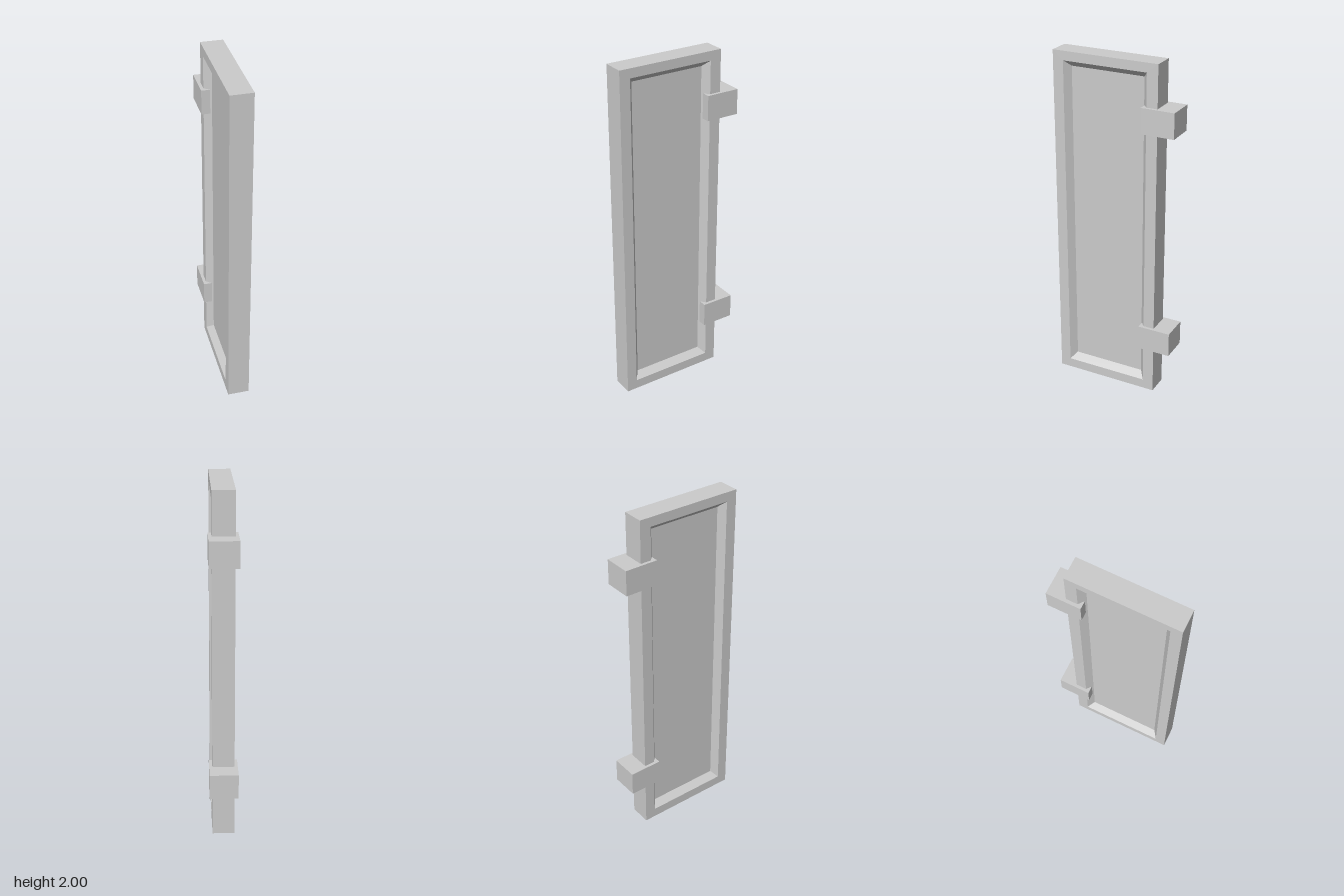
import * as THREE from 'three';

const material = new THREE.MeshStandardMaterial({ color: 0xcccccc, flatShading: true });

// Rectangle in the plane x, counter-clockwise as seen from +x
const ring = (x, zMin, zMax, yMin, yMax) => [
  [x, yMin, zMax], [x, yMin, zMin], [x, yMax, zMin], [x, yMax, zMax],
];

// Closed solid lofted through rectangular rings, capped at both ends
function loft(rings) {
  const positions = [];
  const quad = (a, b, c, d) => positions.push(...a, ...b, ...c, ...a, ...c, ...d);
  quad(...rings[0]);
  for (let k = 0; k < rings.length - 1; k++) {
    const p = rings[k], q = rings[k + 1];
    for (let i = 0; i < 4; i++) {
      const j = (i + 1) % 4;
      quad(q[i], q[j], p[j], p[i]);
    }
  }
  quad(...[...rings[rings.length - 1]].reverse());
  const geometry = new THREE.BufferGeometry();
  geometry.setAttribute('position', new THREE.Float32BufferAttribute(positions, 3));
  geometry.computeVertexNormals();
  return geometry;
}

export function createModel() {
  const group = new THREE.Group();

  // Door leaf: a frame with a bevelled, sunken panel on both faces
  const half = 0.063, floor = 0.023;
  const panel = [-0.163, 0.272, 0.092, 1.912];
  const lip = [-0.195, 0.303, 0.057, 1.947];
  const edge = [-0.26, 0.365, 0, 2];
  const door = new THREE.Mesh(loft([
    ring(floor, ...panel), ring(half, ...lip), ring(half, ...edge),
    ring(-half, ...edge), ring(-half, ...lip), ring(-floor, ...panel),
  ]), material);
  door.name = 'doorLeaf';
  group.add(door);

  // Two hinge blocks wrapping the rear edge
  for (const [name, y] of [['lowerHinge', 0.357], ['upperHinge', 1.687]]) {
    const hinge = new THREE.Mesh(new THREE.BoxGeometry(0.162, 0.145, 0.195), material);
    hinge.position.set(0, y, -0.2675);
    hinge.name = name;
    group.add(hinge);
  }
  return group;
}
